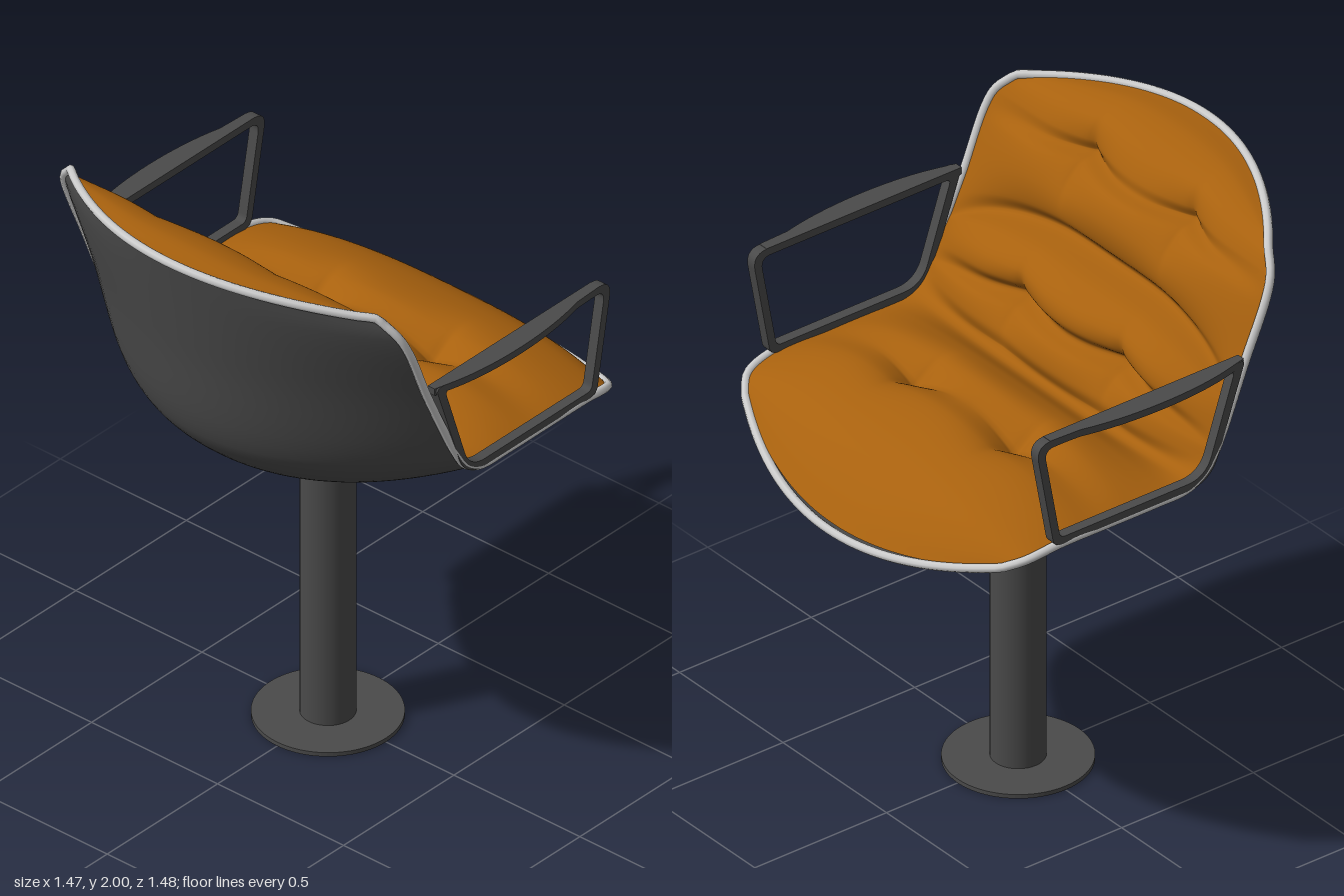
import * as THREE from 'three';

const paint = (color) => new THREE.MeshStandardMaterial({ color, side: THREE.DoubleSide, roughness: 0.7 });
const dark = paint(0x4a4a4a);
const trim = paint(0xcccccc);
const leather = paint(0xa8610e);

const V = (x, y, z = 0) => new THREE.Vector3(x, y, z);
const spline = (pts) => new THREE.CatmullRomCurve3(pts.map((p) => V(...p)));

// Shell centre line and side rim, both from top of back to front of seat
const keel = spline([
  [-0.72, 1.985], [-0.7, 1.88], [-0.65, 1.62], [-0.585, 1.3], [-0.5, 1.19], [-0.36, 1.095],
  [-0.15, 1.04], [0.1, 1.035], [0.4, 1.055], [0.6, 1.075], [0.72, 1.085],
]);
const side = spline([
  [-0.47, 1.925, 0.61], [-0.43, 1.85, 0.67], [-0.32, 1.59, 0.68], [-0.21, 1.35, 0.69], [-0.165, 1.285, 0.69],
  [-0.1, 1.25, 0.69], [0.03, 1.245, 0.69], [0.2, 1.245, 0.69], [0.38, 1.245, 0.69], [0.5, 1.22, 0.67], [0.55, 1.19, 0.62],
]);

// Cushion centre line: [matching rim position, x, y]
const padding = spline([
  [0, -0.705, 1.985], [0.02, -0.6, 1.985], [0.05, -0.49, 1.94], [0.09, -0.435, 1.87], [0.115, -0.425, 1.83],
  [0.14, -0.37, 1.81], [0.18, -0.335, 1.74], [0.22, -0.34, 1.66], [0.24, -0.37, 1.61], [0.25, -0.25, 1.575],
  [0.265, -0.175, 1.52], [0.28, -0.16, 1.47], [0.3, -0.185, 1.42], [0.32, -0.13, 1.39], [0.35, -0.105, 1.33],
  [0.42, -0.12, 1.275], [0.47, -0.09, 1.265], [0.56, 0, 1.32], [0.64, 0.1, 1.355], [0.7, 0.2, 1.335],
  [0.76, 0.3, 1.35], [0.85, 0.45, 1.315], [0.9, 0.55, 1.265], [0.95, 0.64, 1.18], [1, 0.705, 1.1],
]);
const SEAT_START = 15 / 24;

function shellPoint(u, v) {
  const r = side.getPoint(u);
  const p = keel.getPoint(u).lerp(V(r.x, r.y), v * v);
  p.z = r.z * v;
  return p;
}

// Cross-shaped pucker around a button
function pucker(a, b) {
  const folds = Math.exp(-Math.abs(a) / 0.025 - (b / 0.13) ** 2) + Math.exp(-Math.abs(b) / 0.025 - (a / 0.09) ** 2);
  return 0.025 * folds + 0.03 * Math.exp(-(a * a + b * b) / 0.014);
}

function cushionPoint(u, v) {
  const q = padding.getPoint(u);
  const t = THREE.MathUtils.clamp(q.x, 0, 1);
  const r = side.getPoint(t);
  const w = Math.abs(v) ** (2 + Math.min(1, 8 * Math.min(t, 1 - t)));
  const p = V(q.y, q.z).lerp(V(r.x, r.y), w);
  p.z = r.z * v * 0.99;
  const b = Math.abs(p.z) - 0.24;
  if (u < SEAT_START) {
    p.x -= (pucker(q.z - 1.83, b) + pucker(q.z - 1.43, b)) * (1 - w);
  } else {
    p.y -= pucker(q.y - 0.2, b) * (1 - w);
  }
  return p;
}

function surface(fn, nu, nv) {
  const g = new THREE.PlaneGeometry(1, 1, nv, nu);
  const { position, uv } = g.attributes;
  for (let i = 0; i < position.count; i++) {
    const p = fn(1 - uv.getY(i), uv.getX(i) * 2 - 1);
    position.setXYZ(i, p.x, p.y, p.z);
  }
  g.computeVertexNormals();
  return g;
}

// Polygon with rounded corners: [x, y, radius]
function roundedPath(path, pts) {
  const n = pts.length;
  pts.forEach(([x, y, r], i) => {
    const c = new THREE.Vector2(x, y);
    const toward = ([px, py]) => new THREE.Vector2(px, py).sub(c).setLength(r).add(c);
    const a = toward(pts[(i + n - 1) % n]);
    const b = toward(pts[(i + 1) % n]);
    if (i) path.lineTo(a.x, a.y);
    else path.moveTo(a.x, a.y);
    path.quadraticCurveTo(x, y, b.x, b.y);
  });
  path.closePath();
  return path;
}

const extrude = (shape, depth) =>
  new THREE.ExtrudeGeometry(shape, { depth, bevelEnabled: false, curveSegments: 16 });

export function createModel() {
  const model = new THREE.Group();
  const add = (name, geometry, material, parent = model) => {
    const mesh = new THREE.Mesh(geometry, material);
    mesh.name = name;
    parent.add(mesh);
    return mesh;
  };

  // Seat shell, cushion and edge trim
  add('shell', surface(shellPoint, 60, 40), dark);
  add('cushion', surface(cushionPoint, 168, 112), leather);
  const edge = [];
  const n = 24;
  for (let i = 0; i < n; i++) edge.push(shellPoint(0, -1 + (2 * i) / n));
  for (let i = 0; i < 2 * n; i++) edge.push(shellPoint(i / (2 * n), 1));
  for (let i = 0; i < n; i++) edge.push(shellPoint(1, 1 - (2 * i) / n));
  for (let i = 0; i < 2 * n; i++) edge.push(shellPoint(1 - i / (2 * n), -1));
  add('edgeTrim', new THREE.TubeGeometry(new THREE.CatmullRomCurve3(edge, true), 240, 0.014, 8, true), trim);

  // Armrests: flat looped bar with a bowed top
  const loop = roundedPath(new THREE.Shape(), [
    [-0.31, 1.63, 0.02], [0.485, 1.63, 0.06], [0.415, 1.25, 0.03], [-0.18, 1.25, 0.09],
  ]);
  loop.holes.push(roundedPath(new THREE.Path(), [
    [-0.27, 1.605, 0.02], [0.453, 1.605, 0.04], [0.392, 1.275, 0.02], [-0.16, 1.275, 0.07],
  ]));
  const bow = new THREE.Shape();
  bow.moveTo(-0.31, 0.668);
  bow.lineTo(0.43, 0.668);
  bow.lineTo(0.43, 0.703);
  bow.lineTo(0.32, 0.708);
  bow.bezierCurveTo(0.15, 0.75, -0.08, 0.75, -0.23, 0.715);
  bow.lineTo(-0.31, 0.695);
  for (const s of [1, -1]) {
    const arm = new THREE.Group();
    arm.name = s > 0 ? 'leftArmrest' : 'rightArmrest';
    add('armFrame', extrude(loop, 0.035), dark, arm).position.z = s > 0 ? 0.668 : -0.703;
    const top = add('armTop', extrude(bow, 0.024), dark, arm);
    top.rotation.x = s > 0 ? Math.PI / 2 : -Math.PI / 2;
    top.position.y = s > 0 ? 1.631 : 1.607;
    model.add(arm);
  }

  // Mounting bracket with knob
  const plate = new THREE.Shape([[-0.12, 1.05], [-0.09, 0.96], [0.22, 0.96], [0.31, 1.03], [0.31, 1.05]]
    .map(([x, y]) => new THREE.Vector2(x, y)));
  add('bracket', extrude(plate, 0.23), dark).position.z = -0.115;
  const knob = add('knob', new THREE.CylinderGeometry(0.042, 0.042, 0.06, 24), dark);
  knob.position.set(0.257, 1.0, 0);
  knob.rotation.z = 0.62;

  // Pedestal
  add('neck', new THREE.CylinderGeometry(0.042, 0.042, 0.06, 24), dark).position.y = 0.94;
  const column = add('column', new THREE.CylinderGeometry(0.085, 0.085, 0.93, 40, 1, true), dark);
  column.position.y = 0.465;
  const cap = add('columnTop', new THREE.CircleGeometry(0.085, 40), dark);
  cap.rotation.x = -Math.PI / 2;
  cap.position.y = 0.93;
  const disc = new THREE.Shape().absarc(0, 0, 0.23, 0, Math.PI * 2);
  disc.holes.push(new THREE.Path().absarc(0, 0, 0.084, 0, Math.PI * 2, true));
  const base = add('basePlate', new THREE.ExtrudeGeometry(disc, { depth: 0.014, bevelEnabled: false, curveSegments: 40 }), dark);
  base.rotation.x = -Math.PI / 2;

  return model;
}
